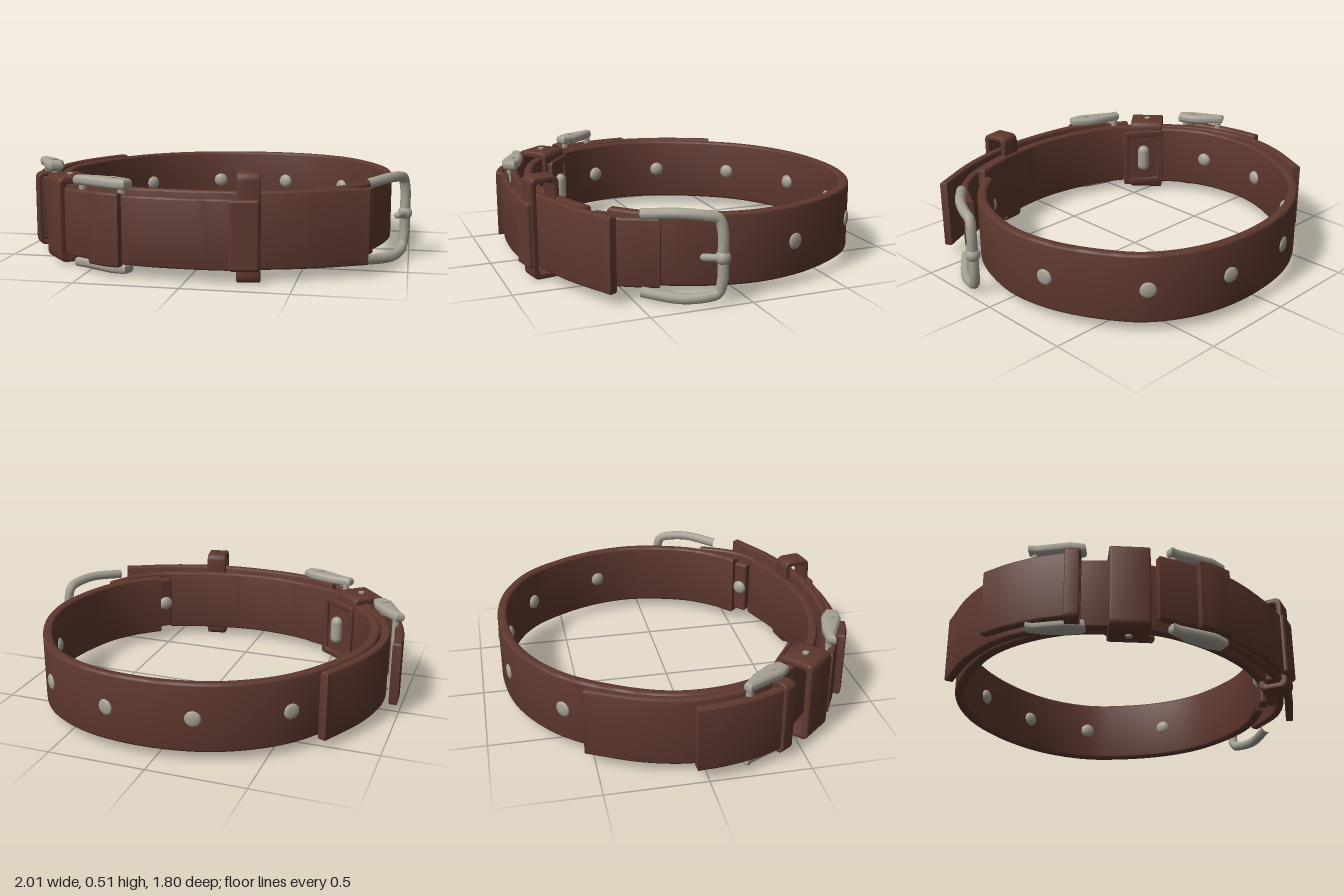
import * as THREE from 'three';
import { mergeVertices, toCreasedNormals } from 'three/addons/utils/BufferGeometryUtils.js';
import { RoundedBoxGeometry } from 'three/addons/geometries/RoundedBoxGeometry.js';

const leather = new THREE.MeshStandardMaterial({ color: 0x5e382e });
leather.name = 'brown leather';
const steel = new THREE.MeshStandardMaterial({ color: 0xa6a194 });
steel.name = 'dull steel';

const MID = 0.235;

function add(parent, name, geometry, material, x = 0, y = 0, z = 0) {
  const mesh = new THREE.Mesh(geometry, material);
  mesh.name = name;
  mesh.position.set(x, y, z);
  parent.add(mesh);
  return mesh;
}

// Extrude with rounded edges that stay inside the outline
function bevelled(shape, depth, bevel) {
  const g = new THREE.ExtrudeGeometry(shape, {
    depth: depth - 2 * bevel, bevelEnabled: true, bevelSize: bevel,
    bevelThickness: bevel, bevelOffset: -bevel, bevelSegments: 3,
  });
  g.translate(0, 0, bevel);
  g.deleteAttribute('uv');
  g.deleteAttribute('normal');
  return toCreasedNormals(mergeVertices(g, 1e-4), 0.7);
}

// Upright leather band following a plan path of [x, z] points
function strap(parent, name, path, y0, y1, thick = 0.05) {
  const curve = new THREE.CatmullRomCurve3(path.map(([x, z]) => new THREE.Vector3(x, -z, 0)));
  const n = Math.max(10, Math.round(curve.getLength() * 24));
  const left = [], right = [];
  for (let i = 0; i <= n; i++) {
    const p = curve.getPointAt(i / n), t = curve.getTangentAt(i / n);
    const dx = -t.y * thick / 2, dy = t.x * thick / 2;
    left.push(new THREE.Vector2(p.x + dx, p.y + dy));
    right.unshift(new THREE.Vector2(p.x - dx, p.y - dy));
  }
  const g = bevelled(new THREE.Shape(left.concat(right)), y1 - y0, thick * 0.28);
  g.rotateX(-Math.PI / 2);
  return add(parent, name, g, leather, 0, y0, 0);
}

// Group with local z pointing outwards at the given angle
function station(parent, name, x, z, angle) {
  const g = new THREE.Group();
  g.name = name;
  g.position.set(x, 0, z);
  g.rotation.y = angle;
  parent.add(g);
  return g;
}

function roundRect(w, h, r, Kind = THREE.Shape) {
  const s = new Kind(), a = w / 2, b = h / 2;
  s.moveTo(-a + r, -b);
  s.lineTo(a - r, -b); s.quadraticCurveTo(a, -b, a, -b + r);
  s.lineTo(a, b - r); s.quadraticCurveTo(a, b, a - r, b);
  s.lineTo(-a + r, b); s.quadraticCurveTo(-a, b, -a, b - r);
  s.lineTo(-a, -b + r); s.quadraticCurveTo(-a, -b, -a + r, -b);
  return s;
}

// Rectangular frame
function frame(w, h, wall, r, depth) {
  const s = roundRect(w, h, r);
  s.holes.push(roundRect(w - 2 * wall, h - 2 * wall, r * 0.6, THREE.Path));
  return bevelled(s, depth, Math.min(wall, depth) * 0.25);
}

// Loop of leather wrapped around the straps
function keeper(parent, name, x, z, angle, width, radial, y0, y1, wall) {
  const g = station(parent, name, x, z, angle);
  const geo = frame(radial, y1 - y0, wall, 0.04, width);
  geo.translate(0, 0, -width / 2);
  geo.rotateY(Math.PI / 2);
  add(g, name + 'Loop', geo, leather, 0, (y0 + y1) / 2, 0);
  return g;
}

// U-shaped wire from two arms and a rounded crossbar, along local x
function wireU(length, y0, y1, r, bow) {
  const a = -length / 2, b = length / 2, c = 0.07;
  const pts = [[a, y0 + 0.015, 0], [0, y0, bow], [b - c, y0 + 0.01, bow * 0.6], [b - 0.02, y0 + 0.025, 0],
    [b, y0 + c + 0.02, 0], [b, MID, 0], [b, y1 - c - 0.02, 0], [b - 0.02, y1 - 0.025, 0],
    [b - c, y1 - 0.01, bow * 0.6], [0, y1, bow], [a, y1 - 0.015, 0]];
  const curve = new THREE.CatmullRomCurve3(pts.map(p => new THREE.Vector3(...p)));
  return new THREE.TubeGeometry(curve, 64, r, 10);
}

// Buckle with broad tapered side arms above and below the strap
function plateBuckle(parent, name, x, z, angle, length, width, y0, y1) {
  const g = station(parent, name, x, z, angle);
  const h = length / 2, w = width / 2;
  const arm = new THREE.Shape([[-h, -0.01], [-h * 0.3, -w * 0.8], [h * 0.5, -w], [h, -w * 0.6], [h, w * 0.6],
    [h * 0.5, w], [-h * 0.7, w * 0.6], [-h, 0.035]].map(([px, pz]) => new THREE.Vector2(px, -pz)));
  for (const [side, y] of [['upper', y1 - 0.05], ['lower', y0]]) {
    const geo = bevelled(arm, 0.05, 0.018);
    geo.rotateX(-Math.PI / 2);
    add(g, side + 'Arm', geo, steel, 0, y, 0);
  }
  for (const px of [-h + 0.03, h - 0.04])
    add(g, 'crossbar', new THREE.CylinderGeometry(0.018, 0.018, y1 - y0 - 0.04, 10), steel, px, (y0 + y1) / 2, 0);
  add(g, 'armPin', new THREE.CylinderGeometry(0.018, 0.018, 0.01, 12), steel, h * 0.4, y1, 0);
}

export function createModel() {
  const model = new THREE.Group();
  model.name = 'buckledCollar';

  // Main ring around the back
  strap(model, 'backStrap', [[0.57, 0.54], [0.68, 0.44], [0.78, 0.30], [0.85, 0.10], [0.875, -0.08], [0.84, -0.30],
    [0.74, -0.52], [0.61, -0.69], [0.38, -0.82], [0.08, -0.865], [-0.26, -0.81], [-0.54, -0.64], [-0.72, -0.40],
    [-0.82, -0.17], [-0.84, 0.03], [-0.80, 0.24], [-0.71, 0.40], [-0.61, 0.50]], 0.06, 0.41);
  // Front strap running on to the outer tail on the right side
  strap(model, 'frontStrap', [[0.54, 0.64], [0.30, 0.72], [0.03, 0.76], [-0.24, 0.73], [-0.47, 0.65], [-0.64, 0.53],
    [-0.77, 0.38], [-0.87, 0.18], [-0.90, -0.03], [-0.85, -0.27], [-0.72, -0.54]], 0.06, 0.415, 0.045);
  // Second front layer with its lifted tip
  strap(model, 'overlapStrap', [[0.81, 0.605], [0.75, 0.635], [0.54, 0.735], [0.27, 0.81], [0, 0.825], [-0.26, 0.80],
    [-0.47, 0.72]], 0.065, 0.43, 0.04);
  strap(model, 'buckleStrap', [[0.25, 0.78], [0.54, 0.685], [0.70, 0.57], [0.77, 0.46], [0.81, 0.38]], 0.07, 0.40, 0.04);
  // Outer front layer
  strap(model, 'outerStrap', [[0.22, 0.865], [0, 0.875], [-0.27, 0.85], [-0.46, 0.78], [-0.63, 0.69]], 0.07, 0.40, 0.035);
  strap(model, 'frontSleeve', [[-0.31, 0.87], [-0.40, 0.845], [-0.47, 0.81]], 0.06, 0.41, 0.04);
  // Outer tab at the right side
  strap(model, 'sideTab', [[-0.975, -0.06], [-0.965, 0.08], [-0.93, 0.24], [-0.87, 0.39]], 0.07, 0.41, 0.045);

  // Tall keeper at the front with its face plate
  const tall = keeper(model, 'frontKeeper', 0.28, 0.795, 0.18, 0.11, 0.15, 0.01, 0.52, 0.03);
  add(tall, 'facePlate', new RoundedBoxGeometry(0.14, 0.33, 0.04, 3, 0.015), leather, -0.02, MID, 0.075);

  // Square keeper between the two small buckles
  const square = keeper(model, 'squareKeeper', -0.665, 0.55, -0.86, 0.19, 0.19, 0.02, 0.445, 0.035);
  add(square, 'keeperPin', new THREE.CylinderGeometry(0.016, 0.016, 0.01, 12), steel, 0, 0.447, 0);
  add(square, 'keeperPin', new THREE.CylinderGeometry(0.016, 0.016, 0.01, 12), steel, 0, 0.018, 0);
  keeper(model, 'sideKeeper', -0.865, 0.38, -1.0, 0.07, 0.09, 0.05, 0.43, 0.02);

  // Framed plate on the inside with an oblong stud
  const plate = station(model, 'innerPlate', -0.565, 0.49, -0.63);
  add(plate, 'plateBacking', new RoundedBoxGeometry(0.23, 0.32, 0.02, 2, 0.008), leather, 0, MID, 0);
  add(plate, 'plateFrame', frame(0.24, 0.34, 0.035, 0.02, 0.02), leather, 0, MID, -0.026);
  const stud = add(plate, 'oblongStud', new THREE.CapsuleGeometry(0.034, 0.09, 6, 14), steel, 0, MID, -0.025);
  stud.scale.z = 0.9;

  // Large wire buckle on the left side with its short tongue
  const large = station(model, 'largeBuckle', 0.885, 0.305, 1.06);
  add(large, 'buckleWire', wireU(0.37, 0.04, 0.44, 0.026, 0.025), steel);
  const tongue = add(large, 'buckleTongue', new THREE.CapsuleGeometry(0.018, 0.08, 5, 10), steel, 0.14, MID, 0.008);
  tongue.rotation.z = Math.PI / 2;
  add(large, 'tongueWrap', new THREE.SphereGeometry(0.037, 14, 10), steel, 0.185, MID, 0);

  // Two small buckles
  plateBuckle(model, 'frontBuckle', -0.425, 0.765, -0.39, 0.31, 0.10, 0.02, 0.47);
  plateBuckle(model, 'sideBuckle', -0.865, 0.285, -1.0, 0.27, 0.10, 0.035, 0.485);

  // Domed rivets, inside and outside the ring
  const dome = new THREE.SphereGeometry(0.04, 16, 12);
  for (const [x, z] of [[-0.18, -0.833], [0.24, -0.855], [0.61, -0.69], [0.853, -0.27], [-0.575, -0.61], [-0.805, -0.22],
    [-0.815, 0.19]]) {
    const rivet = station(model, 'rivet', x, z, Math.atan2(x, z));
    for (const side of [-1, 1])
      add(rivet, side < 0 ? 'innerDome' : 'outerDome', dome, steel, 0, MID, side * 0.026).scale.z = side < 0 ? 0.6 : 0.3;
  }
  // Joint at the left front where the ring meets the front strap
  const joint = station(model, 'joint', 0.555, 0.58, 0.75);
  add(joint, 'jointBlock', new RoundedBoxGeometry(0.08, 0.3, 0.05, 2, 0.012), leather, 0, MID, 0);
  add(joint, 'jointRivet', dome, steel, 0, MID, -0.025).scale.z = 0.6;

  return model;
}
